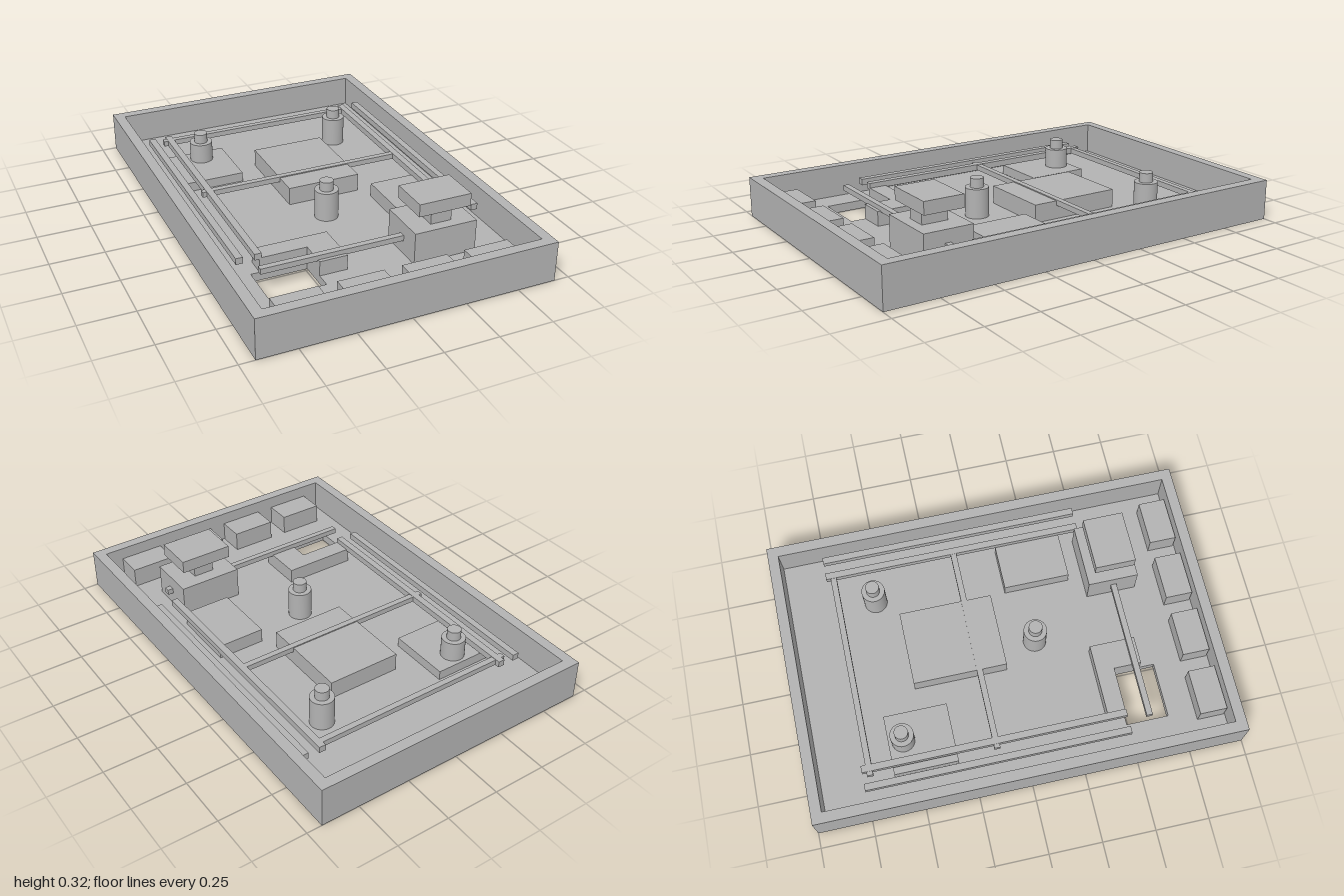
import * as THREE from 'three';

const grey = new THREE.MeshStandardMaterial({ color: 0xb2b2b2 });
grey.name = 'plain grey';

// Outline in plan: shape x = x, shape y = z
function rect(Type, x0, x1, z0, z1) {
  const s = new Type();
  s.moveTo(x0, z0);
  s.lineTo(x1, z0);
  s.lineTo(x1, z1);
  s.lineTo(x0, z1);
  s.closePath();
  return s;
}

export function createModel() {
  const model = new THREE.Group();
  model.name = 'equipmentTray';

  function add(name, geometry) {
    const mesh = new THREE.Mesh(geometry, grey);
    mesh.name = name;
    model.add(mesh);
    return mesh;
  }

  function box(name, x0, x1, y0, y1, z0, z1) {
    add(name, new THREE.BoxGeometry(x1 - x0, y1 - y0, z1 - z0))
      .position.set((x0 + x1) / 2, (y0 + y1) / 2, (z0 + z1) / 2);
  }

  // Raise a plan outline from y0 to y1
  function slab(name, shape, y0, y1) {
    const g = new THREE.ExtrudeGeometry(shape, { depth: y1 - y0, bevelEnabled: false, curveSegments: 24 });
    g.rotateX(Math.PI / 2);
    g.translate(0, y1, 0);
    add(name, g);
  }

  function cylinder(name, r, y0, y1, x, z) {
    add(name, new THREE.CylinderGeometry(r, r, y1 - y0, 32)).position.set(x, (y0 + y1) / 2, z);
  }

  const FLOOR = 0.04, RIM = 0.19;
  const posts = [[-0.36, -0.54], [0.36, -0.54], [0, 0.165]];

  // Floor with a rectangular window and a blind hole under each post
  const floor = rect(THREE.Shape, -0.68, 0.68, -1, 1);
  floor.holes.push(rect(THREE.Path, -0.5, -0.24, 0.49, 0.69));
  for (const [x, z] of posts) {
    floor.holes.push(new THREE.Path().absarc(x, z, 0.032, 0, Math.PI * 2, true));
  }
  slab('floor', floor, 0, FLOOR);

  // Surrounding wall
  const wall = rect(THREE.Shape, -0.68, 0.68, -1, 1);
  wall.holes.push(rect(THREE.Path, -0.63, 0.63, -0.95, 0.95));
  slab('wall', wall, FLOOR, RIM);

  // Posts with locating pins
  for (const [x, z] of posts) {
    cylinder('post', 0.055, FLOOR, 0.18, x, z);
    cylinder('pin', 0.032, 0.18, 0.225, x, z);
  }

  // Lengthwise rails
  for (const x of [-0.549, -0.465, 0.503, 0.587]) {
    box('rail', x - 0.016, x + 0.016, 0.103, 0.133, -0.75, 0.49);
  }

  // Crosswise bars
  for (const z of [-0.715, -0.127, 0.59]) {
    box('crossBar', -0.5, 0.492, 0.105, 0.131, z - 0.014, z + 0.014);
  }

  // Component blocks
  box('backBlock', -0.51, -0.23, FLOOR, 0.085, -0.61, -0.31);
  box('centreBlock', -0.115, 0.24, FLOOR, 0.126, -0.44, 0.003);
  box('sideBlock', 0.27, 0.495, FLOOR, 0.107, 0.08, 0.395);

  // Block notched around the floor window
  const notched = new THREE.Shape([
    [-0.46, 0.405], [-0.11, 0.405], [-0.11, 0.62], [-0.24, 0.62], [-0.24, 0.49], [-0.46, 0.49],
  ].map(([x, z]) => new THREE.Vector2(x, z)));
  slab('notchedBlock', notched, FLOOR, 0.11);

  // Button: housing, stem and cap
  box('buttonHousing', 0.165, 0.465, FLOOR, RIM, 0.465, 0.703);
  box('buttonStem', 0.265, 0.365, RIM, 0.26, 0.53, 0.655);
  box('buttonCap', 0.19, 0.44, 0.257, 0.317, 0.495, 0.685);

  // Row of blocks along the front wall
  for (let i = 0; i < 4; i++) {
    const x = -0.442 + i * 0.295;
    box('frontBlock', x - 0.106, x + 0.106, FLOOR, 0.135, 0.818, 0.945);
  }

  return model;
}
